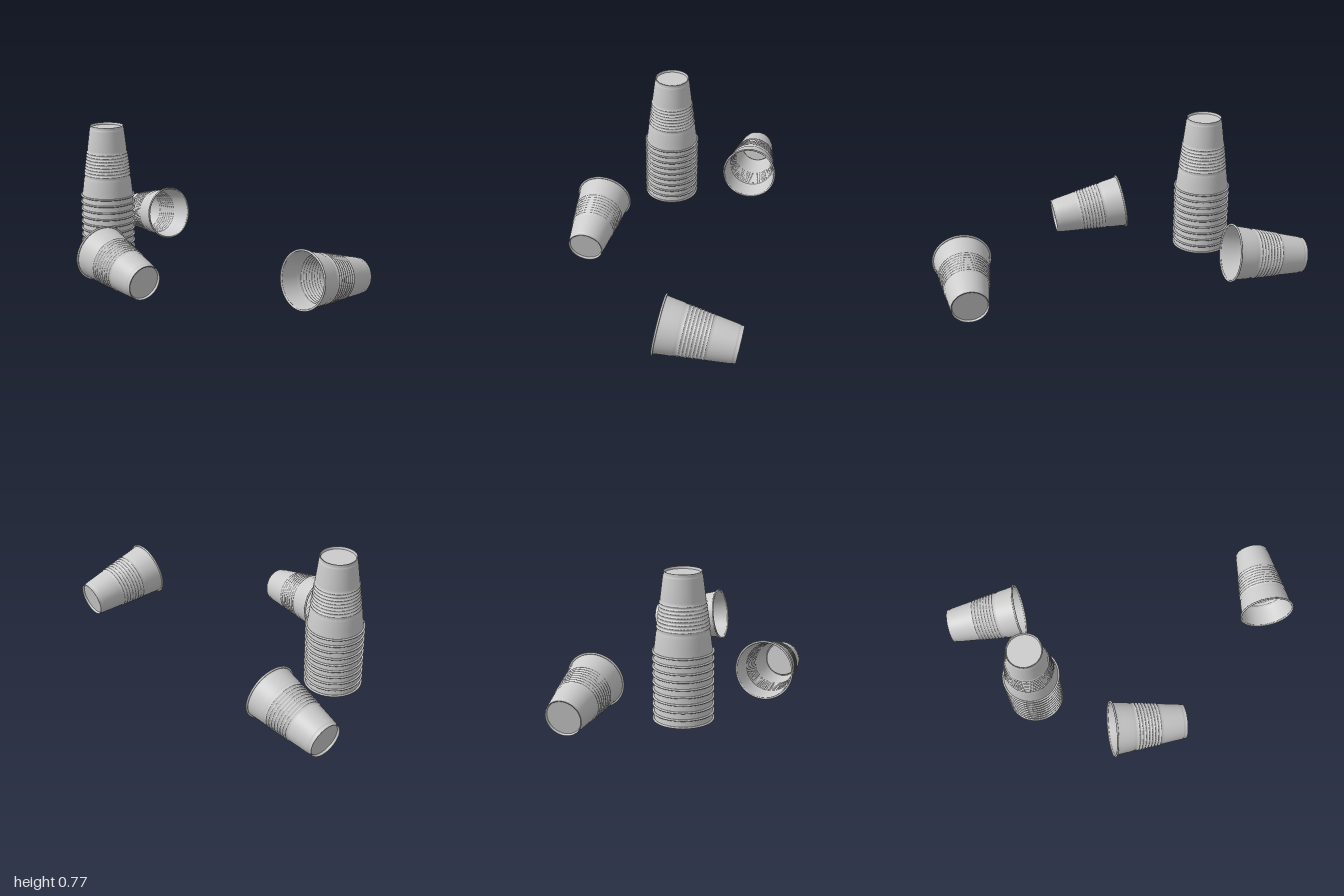
import * as THREE from 'three';

const HEIGHT = 0.415, BASE_R = 0.096;
const material = new THREE.MeshStandardMaterial({ color: 0xcccccc, side: THREE.DoubleSide });

// Tapered wall radius at a height above the mouth
const wallR = (y) => 0.149 - 0.126 * y;

function lathe(name, points) {
  const geometry = new THREE.LatheGeometry(points.map(([r, y]) => new THREE.Vector2(r, y)), 56);
  const mesh = new THREE.Mesh(geometry, material);
  mesh.name = name;
  return mesh;
}

// Wall: plain band, stepped ribbed grip, smooth band, narrow foot
function wallProfile() {
  const p = [[wallR(0), 0.006], [wallR(0.05), 0.05], [wallR(0.1) + 0.001, 0.1], [wallR(0.112) - 0.002, 0.112]];
  for (let i = 0; i < 8; i++) {
    const y = 0.126 + i * 0.018;
    p.push([wallR(y) - 0.002, y], [wallR(y) + 0.002, y + 0.004],
      [wallR(y) + 0.002, y + 0.008], [wallR(y + 0.012) - 0.002, y + 0.012]);
  }
  p.push([wallR(0.276), 0.276], [wallR(0.34), 0.34], [wallR(0.39), 0.39],
    [0.0985, 0.396], [BASE_R, 0.399], [BASE_R, HEIGHT]);
  return p;
}

// A cup with its mouth at y = 0 and its base upward
function makeCup(name) {
  const cup = new THREE.Group();
  cup.name = name;
  cup.add(lathe('wall', wallProfile()));

  // Rolled lip
  const lip = new THREE.Mesh(new THREE.TorusGeometry(0.1525, 0.0055, 8, 56), material);
  lip.name = 'rolledLip';
  lip.rotation.x = Math.PI / 2;
  lip.position.y = 0.006;
  cup.add(lip);

  // Foot ring and slightly recessed base
  cup.add(lathe('footRing', [[BASE_R, HEIGHT], [BASE_R - 0.004, HEIGHT], [BASE_R - 0.006, HEIGHT - 0.012]]));
  cup.add(lathe('base', [[BASE_R - 0.006, HEIGHT - 0.012], [0, HEIGHT - 0.012]]));
  return cup;
}

export function createModel() {
  const model = new THREE.Group();
  model.name = 'plasticCups';

  // Ten nested upside-down cups
  const stack = new THREE.Group();
  stack.name = 'cupStack';
  stack.position.set(-0.555, 0, 0.095);
  for (let i = 0; i < 10; i++) {
    const cup = makeCup('stackedCup');
    cup.position.y = i * 0.0395;
    stack.add(cup);
  }
  model.add(stack);

  // Loose cups resting on their sides: mouth centre, then base direction
  const up = new THREE.Vector3(0, 1, 0);
  const loose = [
    ['frontCup', [-0.157, 0.162, 0.405], [1, 0]],
    ['backCup', [-0.58, 0.162, -0.375], [-1, 0.025]],
    ['sideCup', [0.835, 0.162, -0.147], [-0.015, -1]],
  ];
  for (const [name, mouth, [dx, dz]] of loose) {
    const cup = makeCup(name);
    cup.position.set(...mouth);
    cup.quaternion.setFromUnitVectors(up, new THREE.Vector3(dx, -0.15, dz).normalize());
    model.add(cup);
  }
  return model;
}
